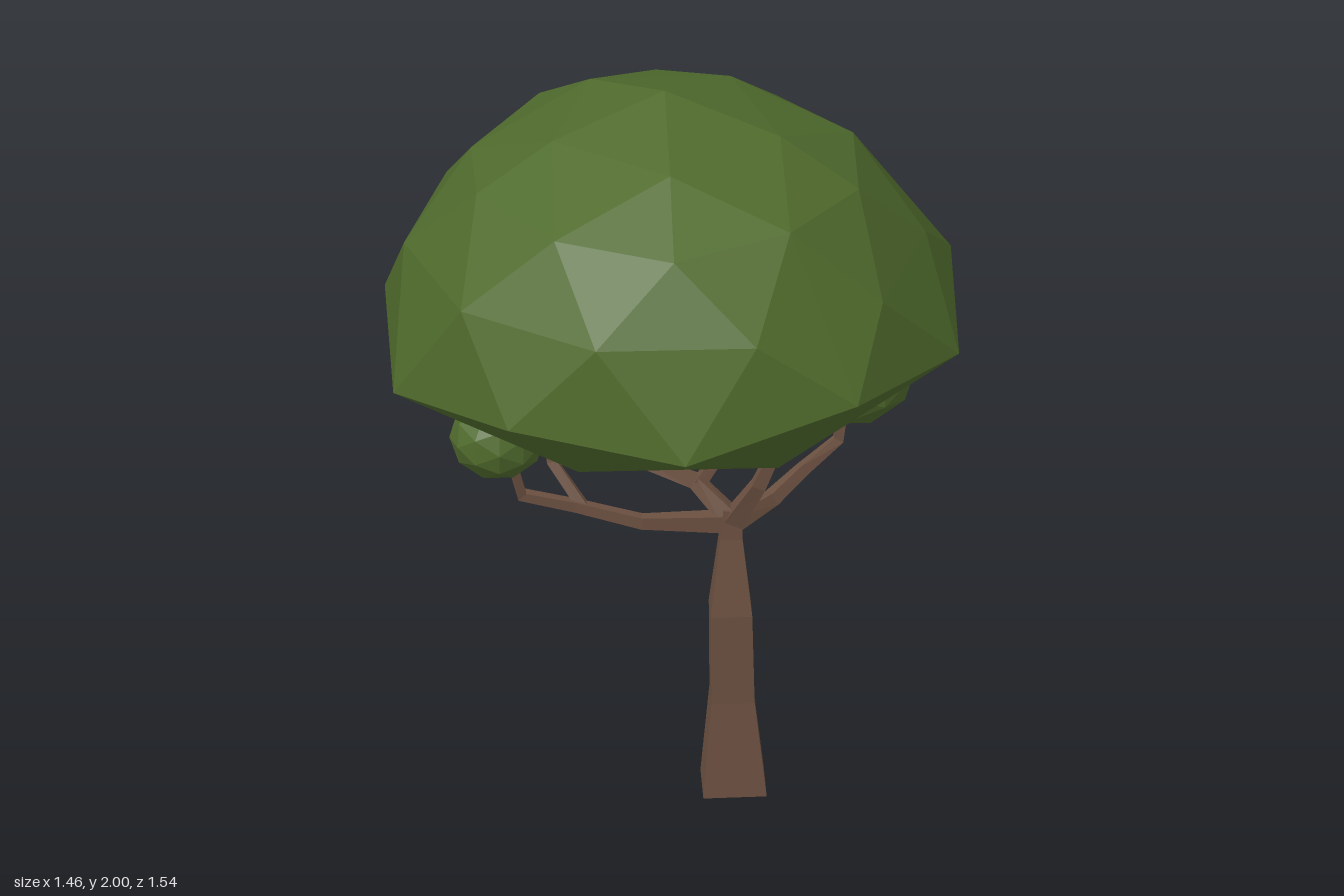
import * as THREE from 'three';
import { ConvexGeometry } from 'three/addons/geometries/ConvexGeometry.js';

const V = (x, y, z) => new THREE.Vector3(x, y, z);
const bark = new THREE.MeshStandardMaterial({ color: 0x6b5040, flatShading: true });
const leaf = new THREE.MeshStandardMaterial({ color: 0x506b2d, flatShading: true });

// Square section swept along points [x, y, z, halfWidth], closed at both ends
function sweep(points) {
  const centres = points.map(p => V(p[0], p[1], p[2]));
  const pos = [], index = [], last = points.length - 1;
  centres.forEach((c, i) => {
    const t = centres[Math.min(i + 1, last)].clone().sub(centres[Math.max(i - 1, 0)]).normalize();
    const side = t.clone().cross(V(0, 0, 1)).normalize();
    const depth = side.clone().cross(t);
    for (const [a, b] of [[1, 1], [1, -1], [-1, -1], [-1, 1]]) {
      const v = c.clone().addScaledVector(side, a * points[i][3]).addScaledVector(depth, b * points[i][3]);
      pos.push(v.x, v.y, v.z);
    }
  });
  for (let i = 0; i < last; i++) {
    for (let k = 0; k < 4; k++) {
      const a = i * 4 + k, b = i * 4 + (k + 1) % 4;
      index.push(a, b, b + 4, a, b + 4, a + 4);
    }
  }
  const e = last * 4;
  index.push(0, 2, 1, 0, 3, 2, e, e + 1, e + 2, e, e + 2, e + 3);
  const g = new THREE.BufferGeometry();
  g.setAttribute('position', new THREE.Float32BufferAttribute(pos, 3));
  g.setIndex(index);
  const flat = g.toNonIndexed();
  flat.computeVertexNormals();
  return flat;
}

// Horizontal ring of points; angle in degrees from +x towards +z
function ring(n, radius, start, heights, cx = 0, cz = 0) {
  return Array.from({ length: n }, (_, i) => {
    const a = THREE.MathUtils.degToRad(start + i * 360 / n);
    return V(cx + radius * Math.cos(a), heights[i % heights.length], cz + radius * Math.sin(a));
  });
}

export function createModel() {
  const tree = new THREE.Group();
  tree.name = 'tree';
  const add = (name, geometry, material) => {
    const m = new THREE.Mesh(geometry, material);
    m.name = name;
    tree.add(m);
    return m;
  };

  // Square tapering trunk
  add('trunk', sweep([
    [0.157, 0, 0.05, 0.082], [0.153, 0.26, 0.052, 0.056],
    [0.149, 0.51, 0.054, 0.054], [0.15, 0.72, 0.05, 0.029], [0.155, 0.8, 0.05, 0.025],
  ]), bark);

  // Branches
  const branches = {
    longBranch: [[0.15, 0.76, 0.05, 0.024], [-0.08, 0.765, 0.05, 0.016], [-0.25, 0.805, 0.03, 0.014],
      [-0.39, 0.84, 0.03, 0.014], [-0.43, 1.0, 0.06, 0.012]],
    longBranchTwig: [[-0.23, 0.8, 0.03, 0.014], [-0.31, 0.91, -0.02, 0.013], [-0.325, 1.1, -0.06, 0.012]],
    middleBranch: [[0.15, 0.77, 0.05, 0.025], [0.06, 0.855, 0, 0.018], [-0.09, 0.895, -0.05, 0.014],
      [-0.14, 1.04, -0.06, 0.012]],
    middleTwig: [[0.07, 0.85, 0.005, 0.016], [0.11, 0.91, 0, 0.014], [0.16, 1.05, 0, 0.012]],
    uprightBranch: [[0.155, 0.76, 0.05, 0.026], [0.22, 0.89, 0.1, 0.018], [0.31, 1.11, 0.12, 0.012]],
    sideBranch: [[0.155, 0.76, 0.05, 0.024], [0.26, 0.79, -0.02, 0.018], [0.34, 0.85, -0.06, 0.015],
      [0.435, 0.91, -0.11, 0.013], [0.455, 1.05, -0.115, 0.012]],
  };
  for (const [name, points] of Object.entries(branches)) add(name, sweep(points), bark);

  // Faceted main crown: rings from the top down to the uneven rim and the shallow underside
  add('crown', new ConvexGeometry([
    V(-0.02, 2, 0.02),
    ...ring(5, 0.31, 18, [1.91], -0.02, 0.02),
    ...ring(10, 0.52, 18, [1.79, 1.8, 1.77], -0.02, 0.03),
    ...ring(10, 0.675, 0, [1.58], -0.02, 0.03),
    ...ring(10, 0.77, 18, [1.33, 1.38, 1.29, 1.33, 1.25, 1.32, 1.27, 1.36, 1.32, 1.4]),
    ...ring(5, 0.44, -90, [1.09, 1.1, 1.07, 1.07, 1.08]),
    V(0.01, 0.96, 0),
  ]), leaf);

  // Small leaf clumps on the outer branches
  const clump = (name, centre, size) => {
    const m = add(name, new THREE.IcosahedronGeometry(1, 1), leaf);
    m.position.set(...centre);
    m.scale.set(...size);
  };
  clump('smallClump', [-0.455, 1.035, 0.075], [0.125, 0.112, 0.12]);
  clump('largeClump', [0.46, 1.12, -0.12], [0.18, 0.148, 0.195]);

  return tree;
}
